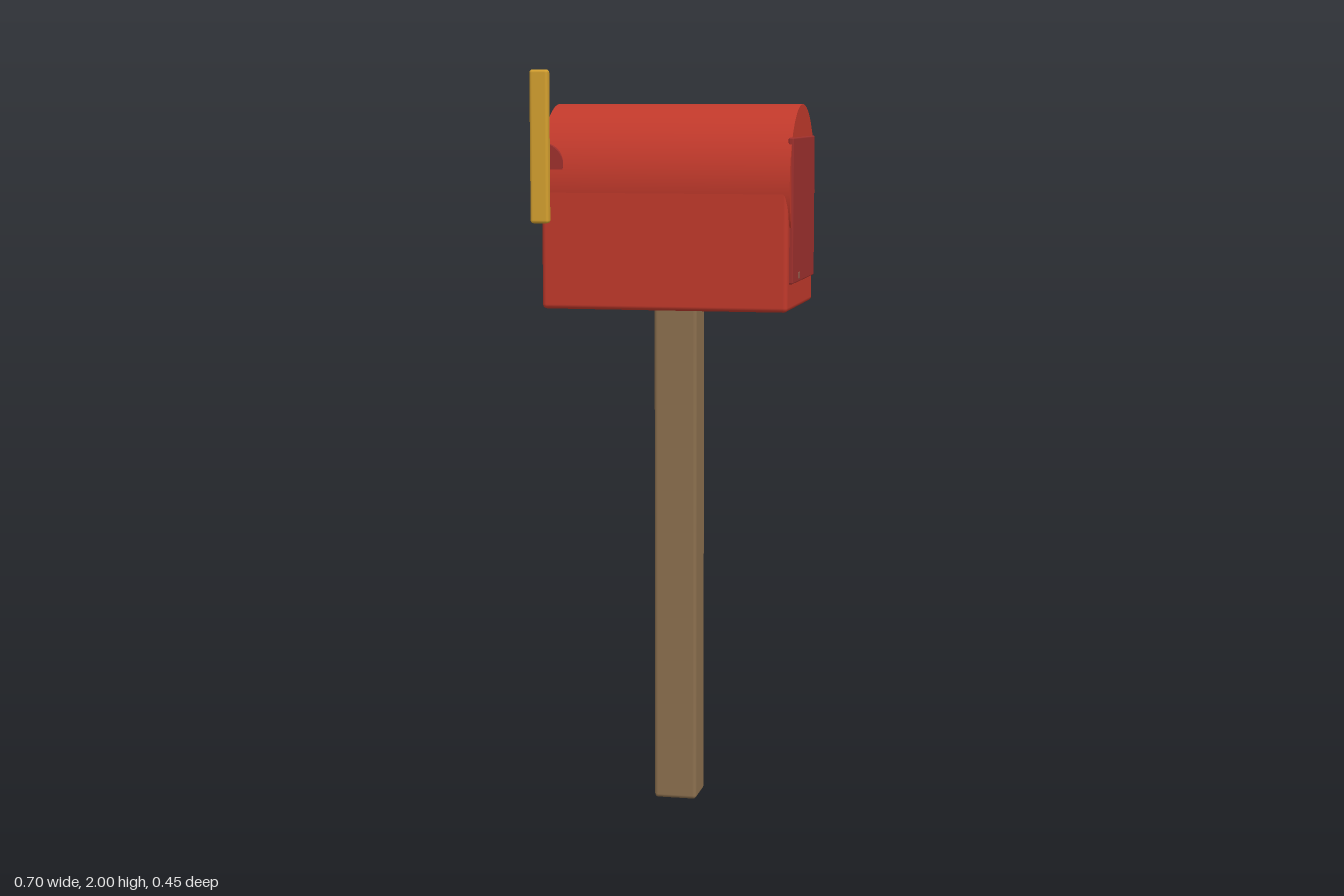
import * as THREE from 'three';
import { RoundedBoxGeometry } from 'three/addons/geometries/RoundedBoxGeometry.js';

export function createModel() {
  const mat = (name, color) => {
    const m = new THREE.MeshStandardMaterial({ color });
    m.name = name;
    return m;
  };
  const red = mat('body red', 0xc0392b);
  const darkRed = mat('door dark red', 0x9e302d);
  const gold = mat('flag gold', 0xd4a02f);
  const wood = mat('post wood', 0x8b6f4e);
  const metal = mat('knob grey', 0x8a7a60);

  const group = new THREE.Group();
  const add = (name, geometry, material) => {
    const mesh = new THREE.Mesh(geometry, material);
    mesh.name = name;
    group.add(mesh);
    return mesh;
  };
  // Rounded box given by its x, y and z ranges
  const block = (name, [x0, x1], [y0, y1], [z0, z1], radius, material) =>
    add(name, new RoundedBoxGeometry(x1 - x0, y1 - y0, z1 - z0, 3, radius), material)
      .position.set((x0 + x1) / 2, (y0 + y1) / 2, (z0 + z1) / 2);

  // Square post
  block('post', [-0.053, 0.064], [0, 1.38], [-0.073, 0.044], 0.01, wood);

  // Lower box with a barrel lying along x as the roof
  block('lowerBody', [-0.325, 0.336], [1.37, 1.70], [-0.225, 0.194], 0.012, red);
  const roof = add('roof', new THREE.CylinderGeometry(0.2115, 0.2115, 0.667, 64), red);
  roof.rotation.z = Math.PI / 2;
  roof.position.set(0.0075, 1.6985, -0.0165);

  // Door plate and its knob on the +x end
  block('door', [0.332, 0.346], [1.443, 1.824], [-0.196, 0.165], 0.004, darkRed);
  block('doorKnob', [0.338, 0.3475], [1.45, 1.47], [0.056, 0.076], 0.004, metal);

  // Flat round plate on the other end
  const plate = add('endPlate', new THREE.CylinderGeometry(0.1, 0.1, 0.004, 24), darkRed);
  plate.rotation.z = Math.PI / 2;
  plate.position.set(-0.325, 1.57, -0.04);

  // Half-round flag mount, its flat side level with the end
  const mount = add('flagMount',
    new THREE.CylinderGeometry(0.058, 0.058, 0.06, 24, 1, false, 0, Math.PI), darkRed);
  mount.rotation.x = Math.PI / 2;
  mount.position.set(-0.324, 1.75, 0.161);

  // Raised flag
  block('flag', [-0.348, -0.298], [1.598, 2], [0.196, 0.225], 0.008, gold);

  return group;
}
